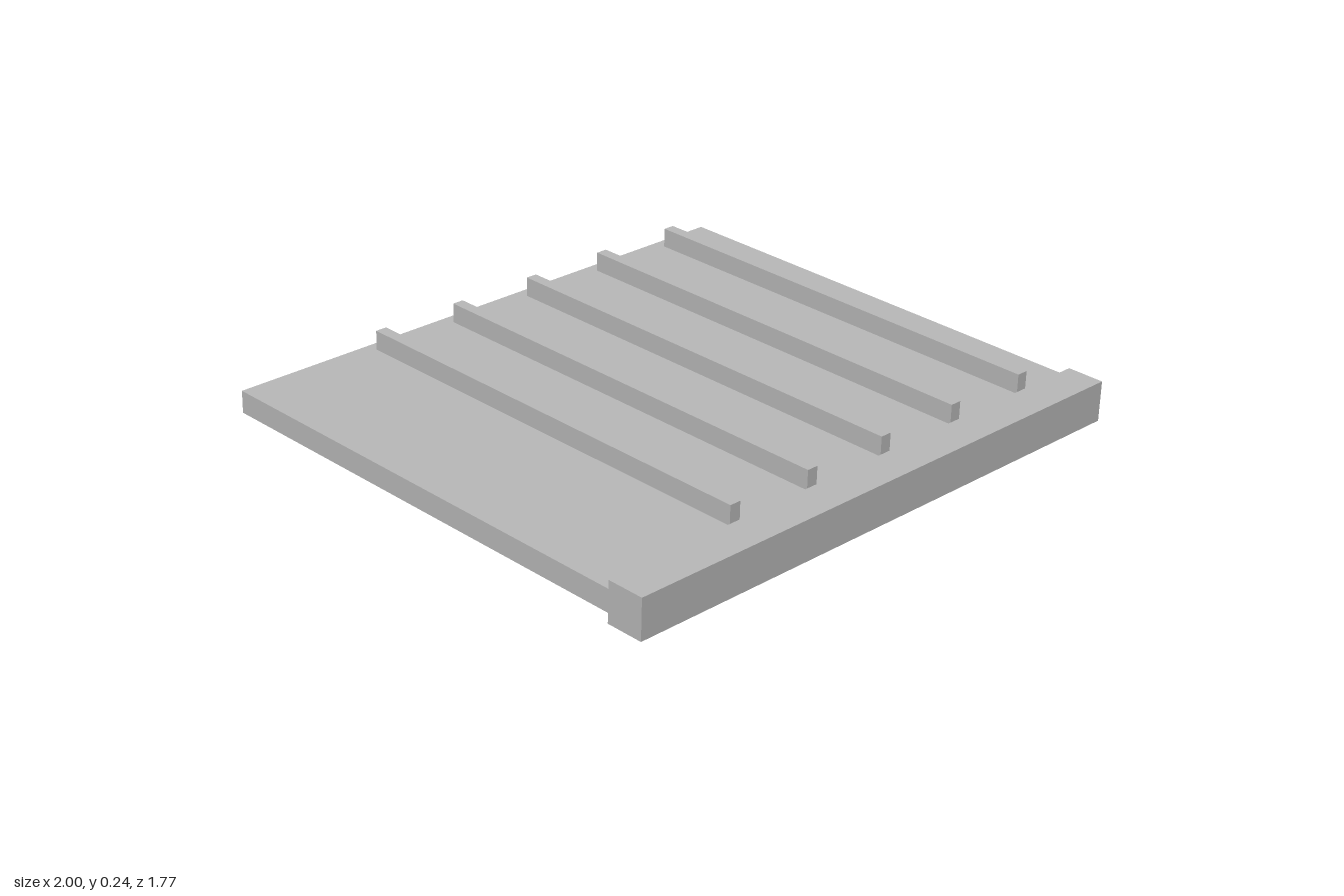
import * as THREE from 'three';

export function createModel() {
  const model = new THREE.Group();
  model.name = 'ribbedPanel';
  const grey = new THREE.MeshStandardMaterial({ color: 0xb8b8b8 });
  grey.name = 'grey';

  // Everything sits on one gently tilted frame, rising towards the back
  const tilted = new THREE.Group();
  tilted.name = 'tiltedPanel';
  tilted.rotation.x = THREE.MathUtils.degToRad(2);
  model.add(tilted);

  // Box given by its centre x, width, and y and z ranges
  const addBox = (name, x, width, y0, y1, z0, z1) => {
    const mesh = new THREE.Mesh(new THREE.BoxGeometry(width, y1 - y0, z1 - z0), grey);
    mesh.position.set(x, (y0 + y1) / 2, (z0 + z1) / 2);
    mesh.name = name;
    tilted.add(mesh);
  };

  // Flat slab and the thicker rail along its front edge
  addBox('slab', 0, 2, 0.065, 0.14, -0.889, 0.751);
  addBox('frontRail', 0, 2, 0.031, 0.168, 0.751, 0.881);

  // Five evenly spaced ribs, set off towards the left side
  for (let i = 0; i < 5; i++) {
    addBox(`rib${i + 1}`, -0.483 + i * 0.32, 0.04, 0.14, 0.206, -0.848, 0.723);
  }
  return model;
}
